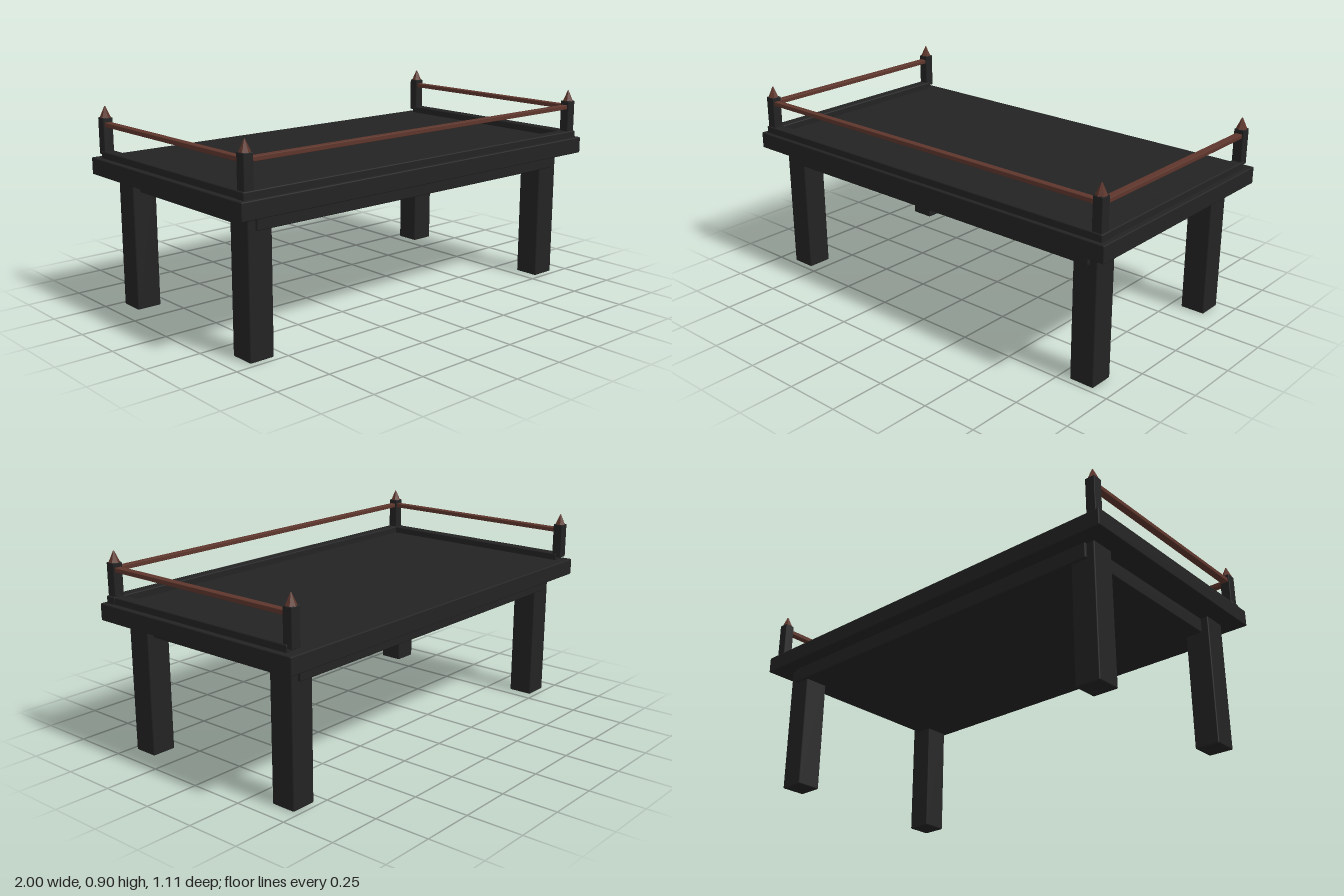
import * as THREE from 'three';
import { RoundedBoxGeometry } from 'three/addons/geometries/RoundedBoxGeometry.js';

export function createModel() {
  const model = new THREE.Group();
  model.name = 'railedTable';

  const charcoal = new THREE.MeshStandardMaterial({ color: 0x232323 });
  charcoal.name = 'charcoal';
  const brown = new THREE.MeshStandardMaterial({ color: 0x5e362c });
  brown.name = 'reddishBrown';

  // Softly bevelled block given by its extents on each axis
  function block(name, [x0, x1], [y0, y1], [z0, z1], material, bevel = 0.005) {
    const geometry = new RoundedBoxGeometry(x1 - x0, y1 - y0, z1 - z0, 1, bevel);
    const mesh = new THREE.Mesh(geometry, material);
    mesh.name = name;
    mesh.position.set((x0 + x1) / 2, (y0 + y1) / 2, (z0 + z1) / 2);
    model.add(mesh);
  }
  // Extent about a centre
  const about = (c, width) => [c - width / 2, c + width / 2];

  // Top slab and the solid under-frame
  block('tableTop', [-1, 1], [0.597, 0.673], [-0.555, 0.555], charcoal);
  block('underFrame', [-0.88, 0.88], [0.53, 0.605], [-0.487, 0.487], charcoal);

  // Raised kerb and rail along the front; the back stays open
  const postX = 0.948, postZ = 0.51;
  block('frontKerb', [-0.978, 0.978], [0.665, 0.705], [0.485, 0.538], charcoal);
  block('frontRail', [-postX, postX], [0.81, 0.83], about(postZ, 0.03), brown, 0.003);

  const capGeometry = new THREE.CylinderGeometry(0.002, 0.0245, 0.05, 6);

  for (const side of [-1, 1]) {
    const label = side > 0 ? 'left' : 'right';

    // Side kerb and rail
    block(label + 'Kerb', about(side * 0.949, 0.052), [0.665, 0.704], [-0.51, 0.53], charcoal);
    block(label + 'Rail', about(side * postX, 0.033), [0.81, 0.83], [-postZ, postZ], brown, 0.003);

    for (const end of [-1, 1]) {
      const corner = label + (end > 0 ? 'Front' : 'Back');

      // Square leg
      block(corner + 'Leg', about(side * 0.858, 0.115), [0, 0.605], about(end * 0.417, 0.115), charcoal);

      // Corner post with pointed cap
      block(corner + 'Post', about(side * postX, 0.046), [0.688, 0.849], about(end * postZ, 0.046), charcoal, 0.003);
      const cap = new THREE.Mesh(capGeometry.toNonIndexed(), brown);
      cap.geometry.computeVertexNormals();
      cap.name = corner + 'PostCap';
      cap.position.set(side * postX, 0.873, end * postZ);
      model.add(cap);
    }
  }

  return model;
}
